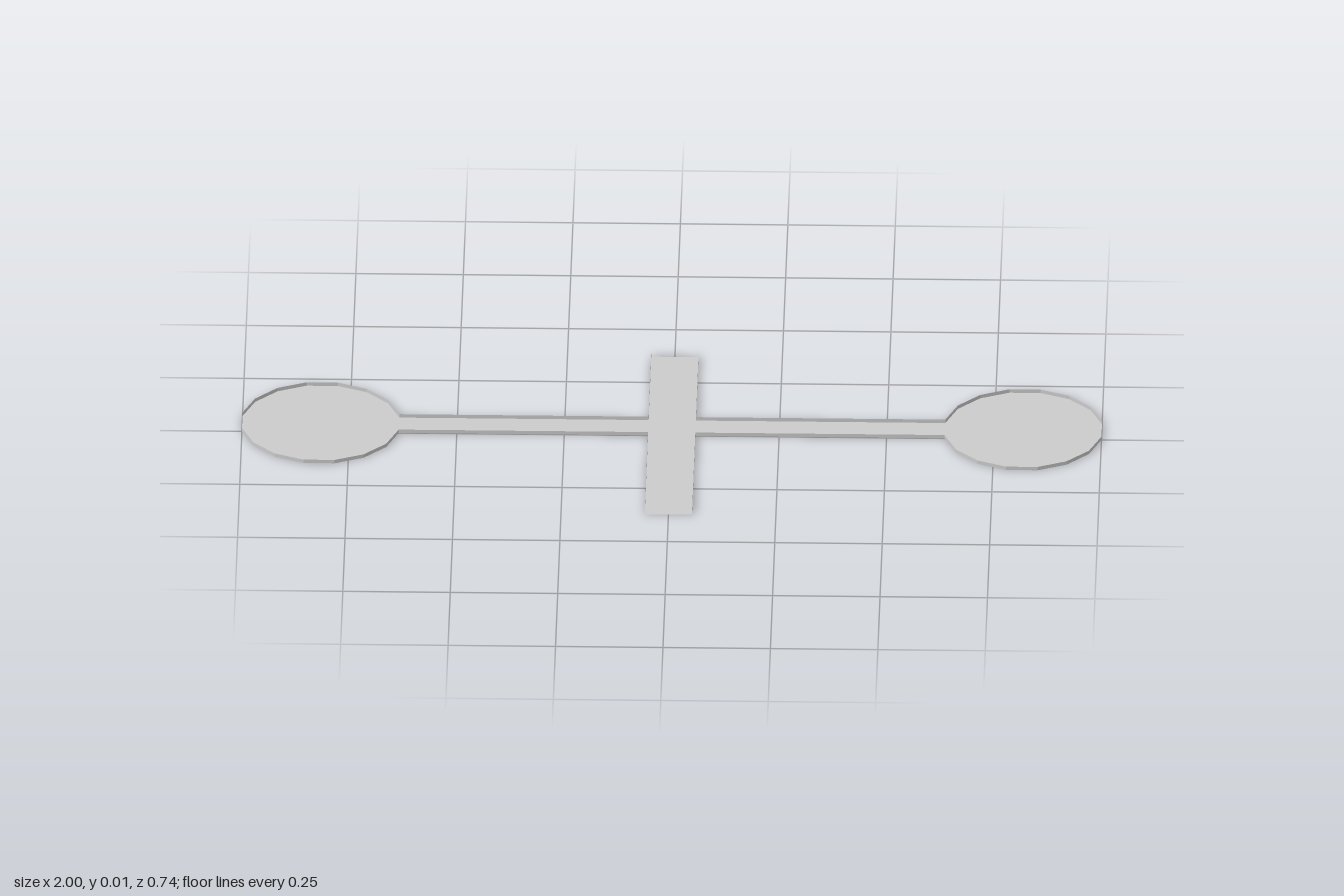
import * as THREE from 'three';

const HEIGHT = 0.009;                 // height of the upright rim
const ARM_X = 0.055, ARM_Z = 0.372;   // half width and half length of the cross arm
const SIDES = 16, RADIUS = 0.186;
const APOTHEM = RADIUS * Math.cos(Math.PI / SIDES);
const HALF_BAR = RADIUS * Math.sin(Math.PI / SIDES);
const BAR_Z = -HALF_BAR;              // centre line of the long bar
const DISC_X = 1 - APOTHEM;

// Right half of the outline as [x, z], from the back arm end to the front one
function halfOutline() {
  const points = [[ARM_X, -ARM_Z], [ARM_X, BAR_Z - HALF_BAR]];
  for (let i = 0; i < SIDES; i++) {
    const a = -Math.PI + (i + 0.5) * 2 * Math.PI / SIDES;
    points.push([DISC_X + RADIUS * Math.cos(a), BAR_Z + RADIUS * Math.sin(a)]);
  }
  points.push([ARM_X, BAR_Z + HALF_BAR], [ARM_X, ARM_Z]);
  return points;
}

// Upright walls along an open run of points
function wallGeometry(points) {
  const pos = [];
  for (let i = 0; i < points.length - 1; i++) {
    const [ax, az] = points[i], [bx, bz] = points[i + 1];
    pos.push(ax, 0, az, ax, HEIGHT, az, bx, HEIGHT, bz);
    pos.push(ax, 0, az, bx, HEIGHT, bz, bx, 0, bz);
  }
  const g = new THREE.BufferGeometry();
  g.setAttribute('position', new THREE.Float32BufferAttribute(pos, 3));
  g.computeVertexNormals();
  return g;
}

export function createModel() {
  const group = new THREE.Group();
  group.name = 'flatCross';
  const material = new THREE.MeshStandardMaterial({
    color: 0xcccccc, flatShading: true, side: THREE.DoubleSide,
  });
  const add = (name, geometry) => {
    const mesh = new THREE.Mesh(geometry, material);
    mesh.name = name;
    group.add(mesh);
  };

  const right = halfOutline();
  const left = right.map(([x, z]) => [-x, z]).reverse();

  // Flat floor: cross arm, long bar and the two end discs
  const shape = new THREE.Shape([...right, ...left].map(([x, z]) => new THREE.Vector2(x, -z)));
  add('floor', new THREE.ShapeGeometry(shape).rotateX(-Math.PI / 2));

  // Thin rim on both halves, open at the two ends of the cross arm
  add('leftRim', wallGeometry(right));
  add('rightRim', wallGeometry(left));
  return group;
}
